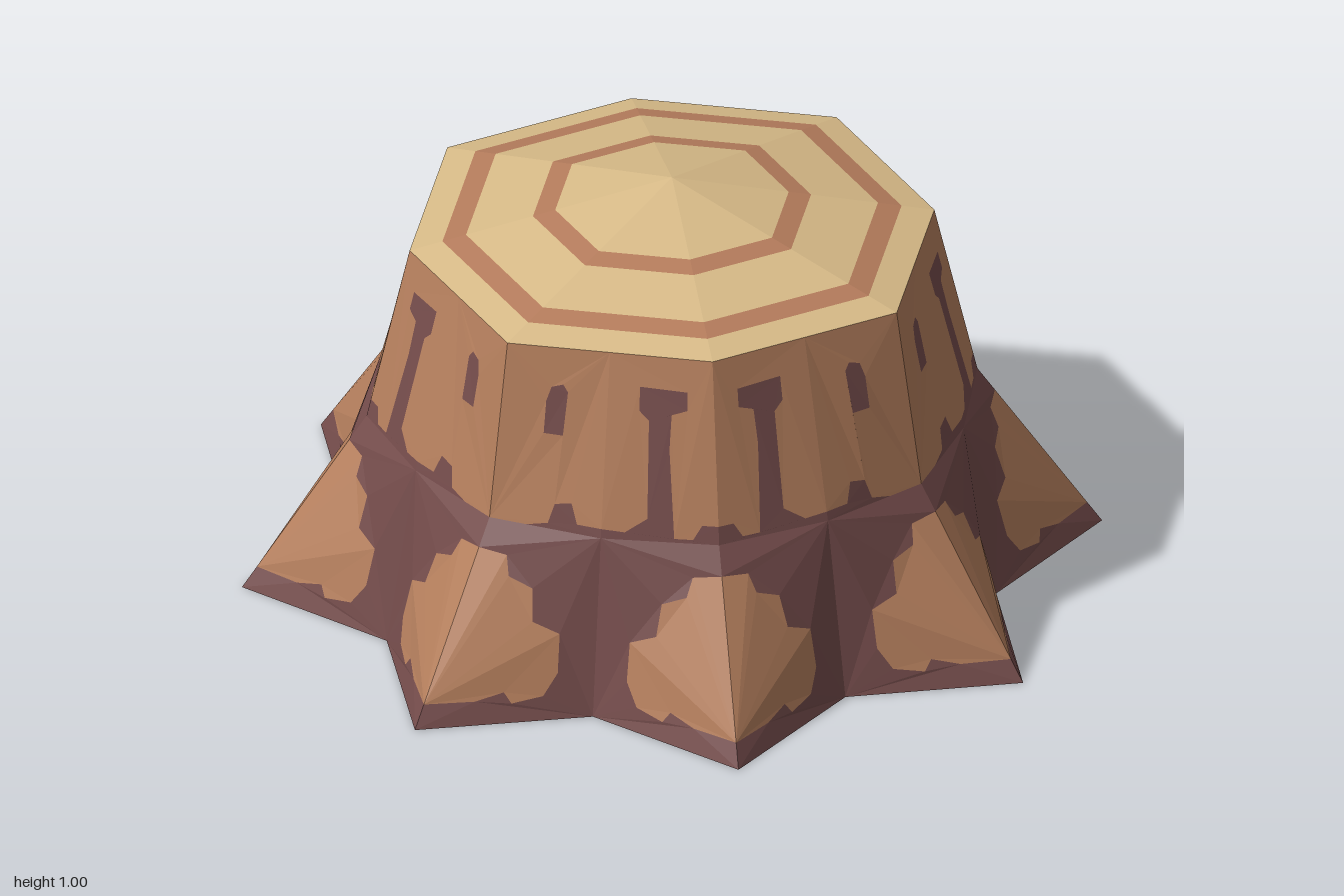
import * as THREE from 'three';
import { mergeGeometries } from 'three/addons/utils/BufferGeometryUtils.js';

const RIM_Y = 0.86, SEAM_Y = 0.43, PEAK_Y = 1.0;

// Point at angle a (0 = front, growing towards +x)
const polar = (a, r, y) => new THREE.Vector3(Math.sin(a) * r, y, Math.cos(a) * r);
const ridgeAngle = (k) => (k * Math.PI) / 4;
const rim = (k) => polar(ridgeAngle(k), k % 2 ? 0.61 : 0.64, RIM_Y);

const shape = (pts, hole) => {
  const s = new THREE.Shape(pts.map(([u, v]) => new THREE.Vector2(u, v)));
  if (hole) s.holes.push(new THREE.Path(hole.map(([u, v]) => new THREE.Vector2(u, v))));
  return s;
};

// Lays a flat shape from the unit square onto the four-cornered panel a, b (bottom), c, d (top)
function panel(s, [a, b, c, d], flip) {
  const g = new THREE.ShapeGeometry(s);
  const p = g.attributes.position;
  for (let i = 0; i < p.count; i++) {
    const u = p.getX(i), v = p.getY(i);
    const low = a.clone().lerp(b, u), high = d.clone().lerp(c, u);
    low.lerp(high, v);
    p.setXYZ(i, low.x, low.y, low.z);
  }
  if (flip) g.index.array.reverse();
  const flat = g.toNonIndexed();
  flat.computeVertexNormals();
  return flat;
}

// Bark patterns: u runs from ridge (0) to valley (1), v runs upwards
const rootPatch = [[0, 0.86], [0.24, 0.84], [0.3, 0.74], [0.5, 0.69], [0.55, 0.52], [0.75, 0.46],
  [0.77, 0.25], [0.7, 0.13], [0.52, 0.1], [0.46, 0.16], [0.3, 0.12], [0, 0.12]];
const rootDark = [[0, 0], [1, 0], [1, 1], [0, 1], ...rootPatch];

const knot = [[0.42, 0.52], [0.6, 0.52], [0.62, 0.76], [0.57, 0.8], [0.46, 0.78], [0.42, 0.7]];
const plainEdge = [[0.33, 0], [0.52, 0.03], [0.57, 0.14], [0.72, 0.16], [0.78, 0.05], [1, 0.05]];
const crackEdge = [[0, 0.1], [0.14, 0.1], [0.22, 0.02], [0.38, 0.02], [0.42, 0.5], [0.4, 0.69],
  [0.25, 0.72], [0.25, 0.82], [0.7, 0.83], [0.7, 0.7], [0.61, 0.65], [0.61, 0.12], [0.8, 0.04], [1, 0.05]];

const trunkPatterns = [
  { light: shape([[0, 0], ...plainEdge, [1, 1], [0, 1]], knot), dark: [shape([...plainEdge, [1, 0]]), shape(knot)] },
  { light: shape([...crackEdge, [1, 1], [0, 1]]), dark: [shape([[0, 0], ...crackEdge, [1, 0]])] },
];

// Eight-sided band of the cut top between two fractions of the rim
function topBand(inner, outer) {
  const pts = [];
  const at = (k, f) => {
    const q = rim(k % 8);
    return new THREE.Vector3(q.x * f, PEAK_Y + (RIM_Y - PEAK_Y) * f, q.z * f);
  };
  for (let k = 0; k < 8; k++) {
    const a = at(k, outer), b = at(k + 1, outer), c = at(k + 1, inner), d = at(k, inner);
    pts.push(a, b, c);
    if (inner > 0) pts.push(a, c, d);
  }
  const g = new THREE.BufferGeometry().setFromPoints(pts);
  g.computeVertexNormals();
  return g;
}

export function createModel() {
  const group = new THREE.Group();
  const material = (name, color) => new THREE.MeshStandardMaterial({ name, color });
  const barkLight = material('light bark', 0xb57f5d);
  const barkDark = material('dark bark', 0x744c4b);
  const wood = material('cut wood', 0xd8bb88);
  const ringWood = material('growth ring', 0xb57c5c);
  const add = (name, geometries, mat) => {
    const mesh = new THREE.Mesh(mergeGeometries(geometries), mat);
    mesh.name = name;
    group.add(mesh);
  };

  // Trunk and flared roots: a mirrored pair of panels at each of eight ridges
  const trunkLight = [], trunkDark = [], rootsLight = [], rootsDark = [];
  for (let k = 0; k < 8; k++) {
    for (const side of [1, -1]) {
      const flip = side < 0, ridge = ridgeAngle(k), valley = ridgeAngle(k + side / 2);
      const tip = polar(ridge, 1, 0), notch = polar(valley, 0.767, 0);
      const seamRidge = polar(ridge, 0.71, SEAM_Y), seamValley = polar(valley, 0.69, SEAM_Y);
      const rimRidge = rim(k), rimMid = rim(k).lerp(rim((k + side + 8) % 8), 0.5);
      const root = [tip, notch, seamValley, seamRidge];
      const trunk = [seamRidge, seamValley, rimMid, rimRidge];
      rootsLight.push(panel(shape(rootPatch), root, flip));
      rootsDark.push(panel(shape(rootDark), root, flip));
      const pattern = trunkPatterns[k % 2];
      trunkLight.push(panel(pattern.light, trunk, flip));
      for (const s of pattern.dark) trunkDark.push(panel(s, trunk, flip));
    }
  }
  add('trunkBark', trunkLight, barkLight);
  add('trunkCracks', trunkDark, barkDark);
  add('rootPatches', rootsLight, barkLight);
  add('roots', rootsDark, barkDark);

  // Cut top with two growth rings
  add('cutTop', [topBand(0, 0.445), topBand(0.53, 0.785), topBand(0.875, 1)], wood);
  add('growthRings', [topBand(0.445, 0.53), topBand(0.785, 0.875)], ringWood);

  // Star-shaped underside
  const star = [];
  for (let i = 0; i < 16; i++) {
    const q = polar((i * Math.PI) / 8, i % 2 ? 0.767 : 1, 0);
    star.push([q.x, q.z]);
  }
  add('underside', [new THREE.ShapeGeometry(shape(star)).rotateX(Math.PI / 2)], barkDark);
  return group;
}
